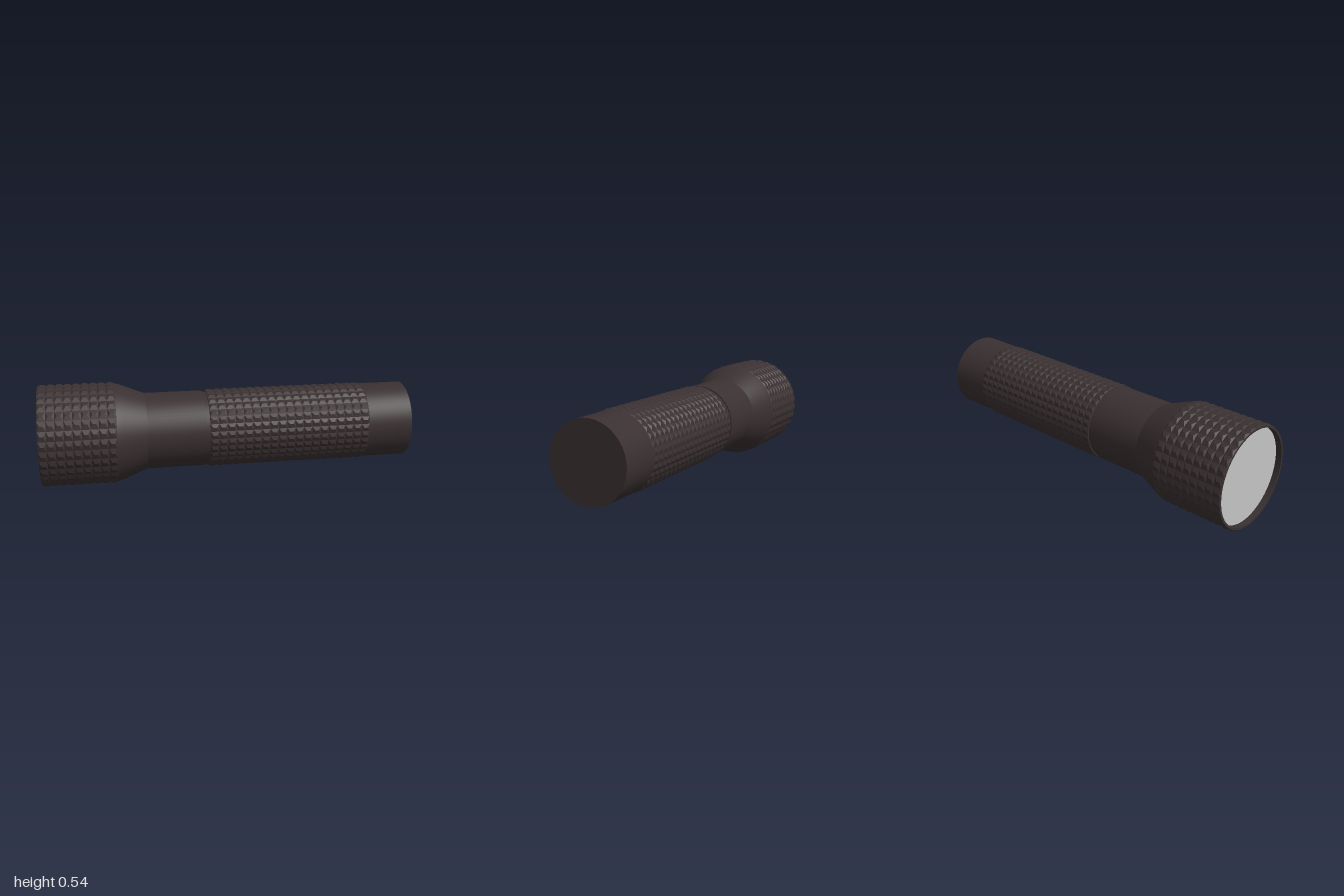
import * as THREE from 'three';
import { toCreasedNormals } from 'three/addons/utils/BufferGeometryUtils.js';

const SIDES = 32;
const RADIUS = 0.27;

// Smooth turned part around the y axis; profile is [radius, position along axis]
function turned(name, profile, material) {
  const points = profile.map(([r, a]) => new THREE.Vector2(r, a));
  const mesh = new THREE.Mesh(toCreasedNormals(new THREE.LatheGeometry(points, SIDES * 2), 0.3), material);
  mesh.name = name;
  return mesh;
}

// Sleeve of small raised roof-shaped studs, in rows around the y axis
function knurled(name, start, end, rows, base, peak, material) {
  const pos = [];
  const point = (r, angle, a) => [r * Math.sin(angle), a, r * Math.cos(angle)];
  const tri = (...corners) => corners.forEach((c) => pos.push(...c));
  const step = (Math.PI * 2) / SIDES;
  const pitch = (end - start) / rows;
  for (let i = 0; i < rows; i++) {
    const y0 = start + i * pitch, y1 = y0 + pitch;
    for (let j = 0; j < SIDES; j++) {
      const a0 = j * step, a1 = a0 + step, mid = a0 + step / 2;
      const p00 = point(base, a0, y0), p10 = point(base, a1, y0);
      const p01 = point(base, a0, y1), p11 = point(base, a1, y1);
      const low = point(peak, mid, y0 + pitch * 0.3);
      const high = point(peak, mid, y1 - pitch * 0.3);
      tri(p00, p10, low);
      tri(p10, p11, high, p10, high, low);
      tri(p11, p01, high);
      tri(p01, p00, low, p01, low, high);
    }
  }
  const geometry = new THREE.BufferGeometry();
  geometry.setAttribute('position', new THREE.Float32BufferAttribute(pos, 3));
  geometry.computeVertexNormals();
  const mesh = new THREE.Mesh(geometry, material);
  mesh.name = name;
  return mesh;
}

export function createModel() {
  const casing = new THREE.MeshStandardMaterial({ color: 0x3a3031 });
  casing.name = 'dark casing';
  const glass = new THREE.MeshStandardMaterial({ color: 0xc4c4c4 });
  glass.name = 'pale lens';

  const torch = new THREE.Group();
  torch.name = 'torch';

  // Head: rim with recess, knurled grip and taper
  torch.add(turned('headRim', [[0.253, -0.965], [0.253, -1], [0.2645, -1]], casing));
  torch.add(knurled('headGrip', -1, -0.6, 9, 0.2645, 0.2713, casing));
  torch.add(turned('headTaper', [[0.2645, -0.6], [0.256, -0.57], [0.205, -0.44]], casing));

  // Lens set back inside the rim
  torch.add(turned('lens', [[0, -0.968], [0.254, -0.968]], glass));

  // Barrel: plain neck, groove, knurled grip and plain tail cap
  torch.add(turned('neck', [[0.205, -0.44], [0.205, -0.13], [0.199, -0.13], [0.199, -0.11], [0.205, -0.11]], casing));
  torch.add(knurled('barrelGrip', -0.11, 0.76, 19, 0.205, 0.211, casing));
  torch.add(turned('tailCap', [[0.2055, 0.76], [0.2055, 1], [0, 1]], casing));

  // Lay the torch along x, lens toward -x
  torch.rotation.z = -Math.PI / 2;
  torch.position.y = RADIUS;

  const model = new THREE.Group();
  model.add(torch);
  return model;
}
